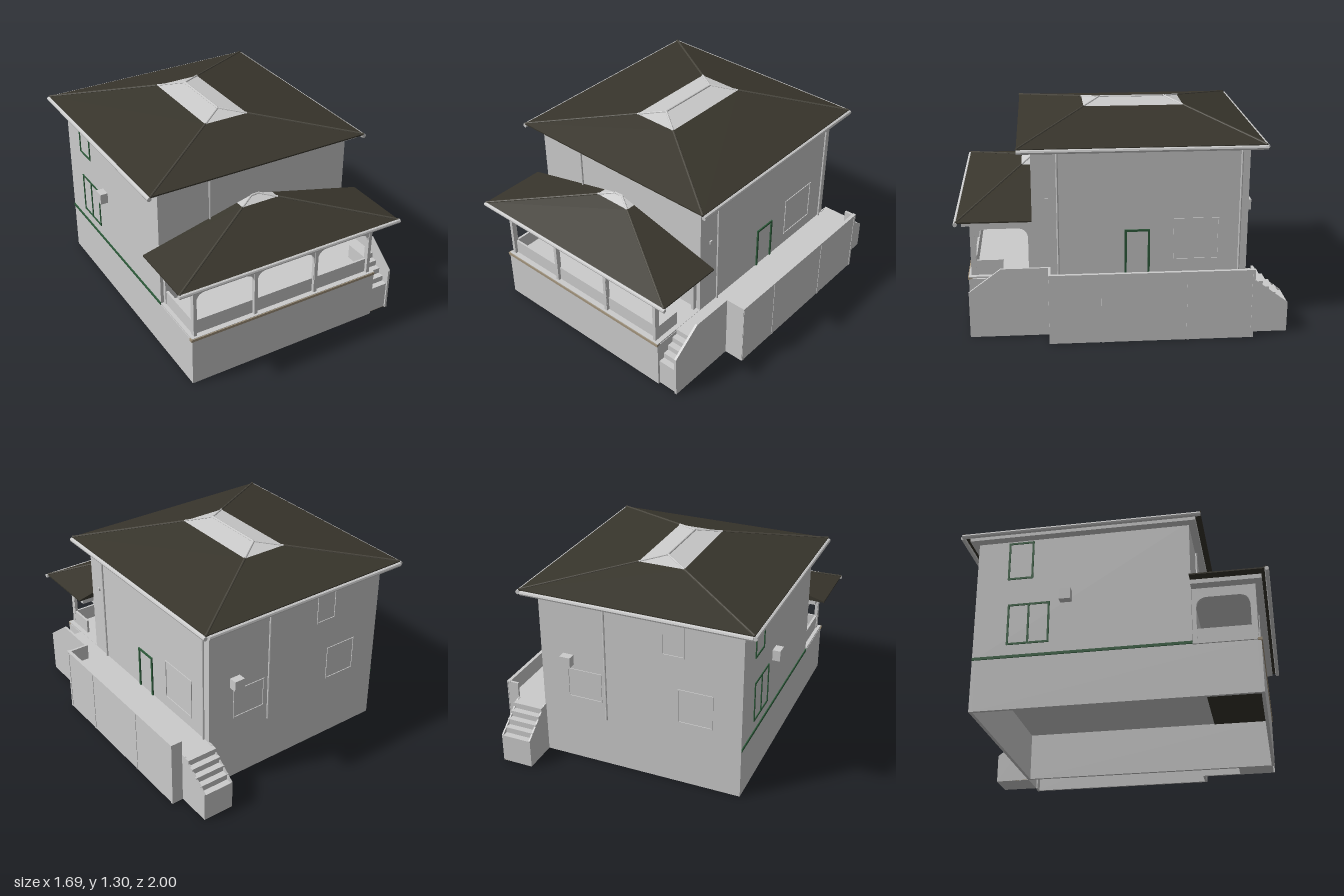
import * as THREE from 'three';

const mat = (color) => new THREE.MeshStandardMaterial({ color, flatShading: true, side: THREE.DoubleSide });
const GREY = mat(0xcccccc), ROOF = mat(0x38352c), HIP = mat(0x4a473e), GREEN = mat(0x2f5d3c), BEIGE = mat(0xa3957e);

export function createModel() {
  const root = new THREE.Group();

  const group = (name) => {
    const g = new THREE.Group();
    g.name = name;
    root.add(g);
    return g;
  };
  const add = (parent, name, geo, m = GREY) => {
    const mesh = new THREE.Mesh(geo, m);
    mesh.name = name;
    parent.add(mesh);
    return mesh;
  };
  // box given by its two extreme corners
  const box = (parent, name, x0, x1, y0, y1, z0, z1, m = GREY) => {
    const mesh = add(parent, name, new THREE.BoxGeometry(x1 - x0, y1 - y0, z1 - z0), m);
    mesh.position.set((x0 + x1) / 2, (y0 + y1) / 2, (z0 + z1) / 2);
    return mesh;
  };
  // round bar between two points
  const bar = (parent, name, a, b, r, m = GREY) => {
    const p = new THREE.Vector3(...a), q = new THREE.Vector3(...b);
    const mesh = add(parent, name, new THREE.CylinderGeometry(r, r, p.distanceTo(q), 8), m);
    mesh.position.copy(p).lerp(q, 0.5);
    mesh.quaternion.setFromUnitVectors(new THREE.Vector3(0, 1, 0), q.sub(p).normalize());
    return mesh;
  };
  // four sloping faces between two levels [x0, x1, z0, z1, y]
  const ring = ([x0, x1, z0, z1, y]) => [[x0, y, z1], [x1, y, z1], [x1, y, z0], [x0, y, z0]];
  const slopes = (low, high) => {
    const a = ring(low), b = ring(high), pos = [];
    for (let i = 0; i < 4; i++) {
      const j = (i + 1) % 4;
      pos.push(...a[i], ...a[j], ...b[j], ...a[i], ...b[j], ...b[i]);
    }
    const geo = new THREE.BufferGeometry();
    geo.setAttribute('position', new THREE.Float32BufferAttribute(pos, 3));
    geo.computeVertexNormals();
    return geo;
  };
  const hipRoof = (parent, low, top, t, corners) => {
    const mid = low.map((v, i) => v + (top[i] - v) * t);
    add(parent, 'roofSlopes', slopes(low, mid), ROOF);
    add(parent, 'roofCap', slopes(mid, top));
    const a = ring(low), m = ring(mid), b = ring(top);
    for (const i of corners) {
      bar(parent, 'hipTile', a[i], m[i], 0.007, HIP);
      bar(parent, 'capHip', m[i], b[i], 0.007);
    }
    bar(parent, 'ridge', b[0], b[2], 0.008);
    box(parent, 'eaveBoard', low[0], low[1], low[4] - 0.008, low[4], low[2], low[3], ROOF);
  };
  // side profile of (z, y) points extruded along x
  const profile = (parent, name, pts, x0, x1) => {
    const s = new THREE.Shape(pts.map(([z, y]) => new THREE.Vector2(-z, y)));
    const mesh = add(parent, name, new THREE.ExtrudeGeometry(s, { depth: x1 - x0, bevelEnabled: false }));
    mesh.rotation.y = Math.PI / 2;
    mesh.position.x = x0;
    return mesh;
  };

  // hollow base and upper house
  const base = group('base');
  box(base, 'frontBaseWall', -0.735, 0.575, 0, 0.32, 0.91, 0.93);
  box(base, 'backBaseWall', -0.735, 0.575, 0, 0.34, -0.775, -0.755);
  box(base, 'leftBaseWall', 0.555, 0.575, 0, 0.32, -0.755, 0.91);
  box(base, 'rightBaseWall', -0.735, -0.715, 0, 0.32, -0.755, 0.91);
  box(base, 'porchFloor', -0.735, 0.575, 0.325, 0.335, 0.54, 0.93);
  box(base, 'porchUnderside', -0.715, 0.555, 0.317, 0.325, 0.54, 0.91, ROOF);
  box(base, 'deckEdge', -0.742, 0.575, 0.315, 0.332, 0.91, 0.936, BEIGE);
  const house = group('house');
  box(house, 'houseWalls', -0.735, 0.575, 0.32, 1.14, -0.775, 0.54);

  // main roof with soffit, gutters and downpipes
  const roof = group('mainRoof');
  hipRoof(roof, [-0.815, 0.655, -0.855, 0.62, 1.155], [-0.081, -0.079, -0.33, 0.095, 1.293], 0.8, [0, 1, 2, 3]);
  box(roof, 'soffit', -0.79, 0.63, 1.12, 1.147, -0.82, 0.585);
  for (const x of [-0.82, 0.66]) bar(roof, 'sideGutter', [x, 1.138, -0.86], [x, 1.138, 0.62], 0.014);
  bar(roof, 'backGutter', [-0.81, 1.138, -0.862], [0.64, 1.138, -0.862], 0.014);
  for (const [x, z, y] of [[0.583, 0.385, 0.335], [0.583, -0.725, 0.335], [0.14, -0.783, 0.33], [-0.395, 0.547, 0.75]])
    bar(house, 'downpipe', [x, y, z], [x, 1.13, z], 0.007);

  // porch roof
  const porch = group('porch');
  hipRoof(porch, [-0.84, 0.68, 0.54, 0.985, 0.725], [-0.11, -0.05, 0.54, 0.545, 0.907], 0.87, [0, 1]);
  box(porch, 'porchSoffit', -0.78, 0.655, 0.69, 0.718, 0.54, 0.955);
  bar(porch, 'porchGutter', [-0.845, 0.714, 0.988], [0.69, 0.714, 0.988], 0.013);

  // arched arcade: posts stay between the round-cornered openings
  const arcade = (name, length, openings) => {
    const s = new THREE.Shape();
    const bottom = 0.33, top = 0.70, spring = 0.56, head = 0.63;
    s.moveTo(0, bottom);
    for (const [a, b] of openings) {
      const r = Math.min(0.07, (b - a) / 3);
      s.lineTo(a, bottom).lineTo(a, spring);
      s.quadraticCurveTo(a, head, a + r, head);
      s.lineTo(b - r, head);
      s.quadraticCurveTo(b, head, b, spring);
      s.lineTo(b, bottom);
    }
    s.lineTo(length, bottom).lineTo(length, top).lineTo(0, top);
    return add(porch, name, new THREE.ExtrudeGeometry(s, { depth: 0.02, bevelEnabled: false, curveSegments: 8 }));
  };
  arcade('frontArcade', 1.26, [[0.02, 0.41], [0.43, 0.835], [0.86, 1.24]]).position.set(-0.715, 0, 0.89);
  for (const x of [-0.715, 0.525]) {
    const side = arcade('sideArcade', 0.36, [[0.02, 0.335]]);
    side.rotation.y = Math.PI / 2;
    side.position.set(x, 0, 0.9);
  }
  for (const x of [-0.705, -0.295, 0.133, 0.535]) box(porch, 'post', x - 0.011, x + 0.011, 0.33, 0.7, 0.885, 0.915);
  box(porch, 'frontParapet', -0.7, 0.54, 0.33, 0.43, 0.882, 0.895);
  box(porch, 'rightParapet', -0.71, -0.695, 0.33, 0.43, 0.54, 0.89);
  box(porch, 'leftParapet', 0.53, 0.545, 0.33, 0.43, 0.72, 0.89);

  // raised side walkway with parapets
  const walk = group('walkway');
  box(walk, 'walkFloor', 0.575, 0.83, 0.315, 0.333, -0.77, 0.44);
  box(walk, 'walkLanding', 0.575, 0.7, 0.315, 0.333, 0.44, 0.72);
  box(walk, 'outerWall', 0.828, 0.843, 0, 0.437, -0.775, 0.45);
  box(walk, 'frontEndWall', 0.7, 0.828, 0, 0.437, 0.435, 0.45);
  box(walk, 'backEndWall', 0.77, 0.828, 0, 0.437, -0.775, -0.76);
  box(walk, 'coping', 0.825, 0.847, 0.432, 0.44, -0.778, 0.452);
  for (const z of [0.44, 0.13, -0.38, -0.77]) box(walk, 'pilaster', 0.84, 0.846, 0, 0.435, z - 0.008, z + 0.008);
  profile(walk, 'stairSideWall', [[0.45, 0], [0.925, 0], [0.925, 0.29], [0.73, 0.437], [0.45, 0.437]], 0.7, 0.715);

  // stair blocks at both ends, with stepped tops
  const stair = (name, zIn, zOut, x0, x1) => {
    const steps = 5, pts = [[zIn, 0], [zIn, 0.333]];
    const mid = zIn + (zOut - zIn) * 0.13;
    for (let i = 0; i < steps; i++) {
      const y = 0.333 - (0.148 * i) / (steps - 1);
      const z = mid + ((zOut - mid) * i) / steps;
      pts.push([z, y], [mid + ((zOut - mid) * (i + 1)) / steps, y]);
    }
    pts.push([zOut, 0]);
    const g = group(name);
    profile(g, 'steps', pts, x0, x1);
    box(g, 'stairFoot', x0, x1, 0, 0.003, Math.min(zIn, zOut), Math.max(zIn, zOut), BEIGE);
    return g;
  };
  stair('frontStair', 0.69, 0.915, 0.575, 0.7);
  const back = stair('backStair', -0.77, -1, 0.57, 0.77);
  for (const x of [0.57, 0.76])
    profile(back, 'stringer', [[-0.77, 0], [-0.77, 0.338], [-0.8, 0.338], [-1, 0.188], [-1, 0]], x, x + 0.01);

  // openings: a thin frame laid on a wall; axis tells the wall's normal
  const frame = (name, axis, wall, a, b, y0, y1, t, m, mullion = false, sill = true) => {
    const g = group(name);
    const strip = (p, q, r, s) => axis === 'x'
      ? box(g, 'frameBar', wall - 0.005, wall + 0.005, r, s, p, q, m)
      : box(g, 'frameBar', p, q, r, s, wall - 0.005, wall + 0.005, m);
    strip(a, a + t, y0, y1);
    strip(b - t, b, y0, y1);
    strip(a, b, y1 - t, y1);
    if (sill) strip(a, b, y0, y0 + t);
    if (mullion) strip((a + b - t) / 2, (a + b + t) / 2, y0, y1);
  };
  frame('frontDoor', 'z', 0.543, 0.21, 0.365, 0.333, 0.615, 0.014, GREEN, false, false);
  frame('sideDoor', 'x', 0.578, -0.175, -0.02, 0.333, 0.615, 0.013, GREEN, false, false);
  frame('leftWindow', 'x', 0.575, -0.6, -0.32, 0.41, 0.68, 0.008, GREY);
  frame('backWindow', 'z', -0.775, 0.17, 0.4, 0.44, 0.64, 0.008, GREY);
  frame('backWindow', 'z', -0.775, -0.555, -0.33, 0.43, 0.66, 0.008, GREY);
  frame('backUpperWindow', 'z', -0.775, -0.375, -0.23, 0.87, 1.1, 0.008, GREY);
  frame('rightUpperWindow', 'x', -0.735, -0.58, -0.42, 0.85, 1.11, 0.012, GREEN);
  frame('rightWindow', 'x', -0.735, -0.57, -0.31, 0.41, 0.68, 0.012, GREEN, true);
  box(house, 'greenTrim', -0.741, -0.735, 0.325, 0.342, -0.775, 0.54, GREEN);

  // wall units and lamp
  box(house, 'backWallUnit', 0.355, 0.425, 0.67, 0.737, -0.825, -0.775);
  box(house, 'rightWallUnit', -0.785, -0.735, 0.665, 0.735, -0.245, -0.175);
  bar(house, 'lamp', [0.41, 0.61, 0.54], [0.41, 0.61, 0.56], 0.009);
  box(house, 'leftWallBox', 0.575, 0.584, 0.81, 0.83, 0.44, 0.46);
  return root;
}
